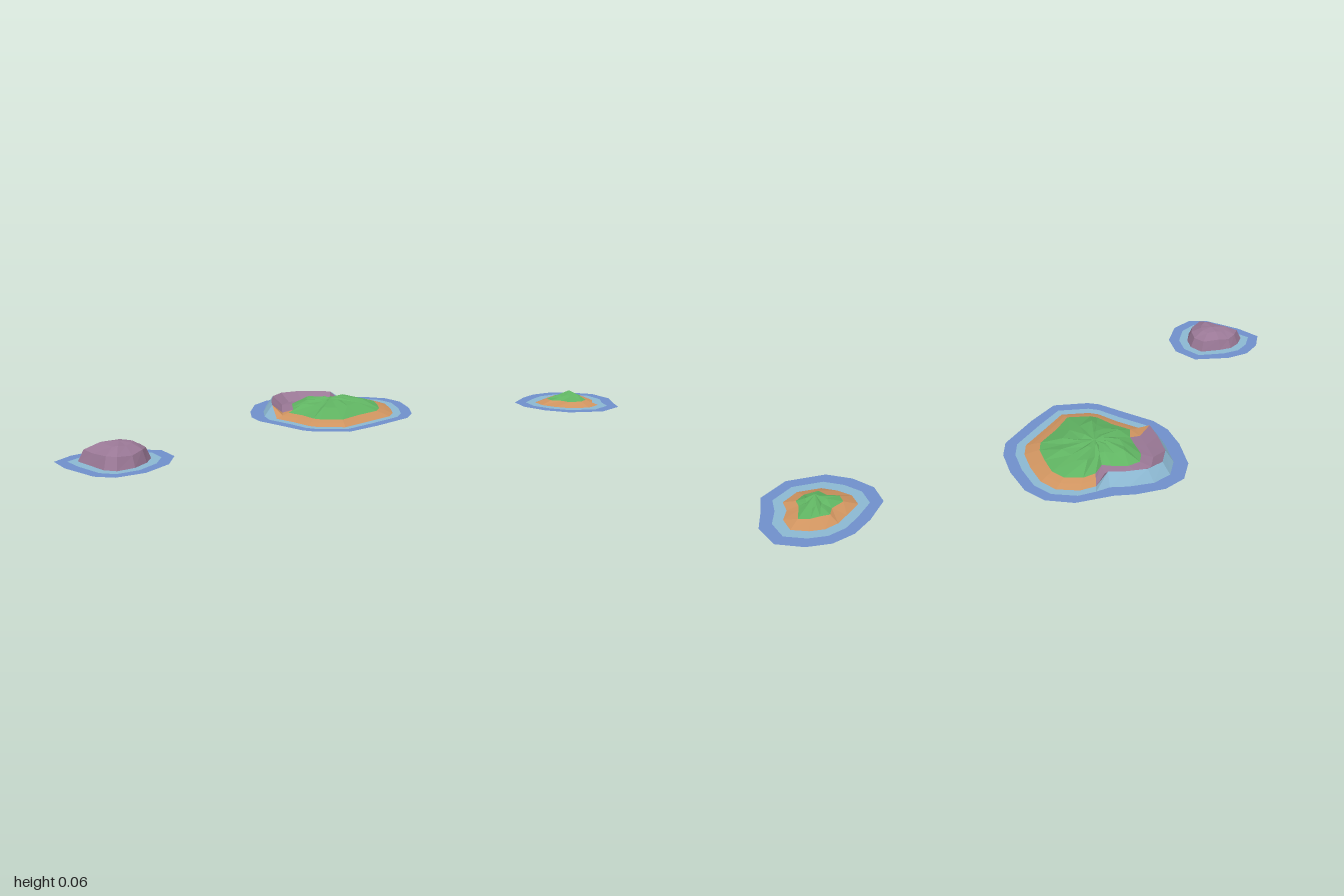
import * as THREE from 'three';

const paint = (name, color) => {
  const m = new THREE.MeshStandardMaterial({ color, flatShading: true, side: THREE.DoubleSide });
  m.name = name;
  return m;
};
const deepBlue = paint('deepWater', 0x7090cc);
const paleBlue = paint('shallowWater', 0x8cb8d2);
const sand = paint('sand', 0xd09460);
const green = paint('grass', 0x60b462);
const mauve = paint('rock', 0x9a7896);

// Ring pulled inward from the outline by a distance, at a height (numbers or functions of index)
const val = (v, i) => (typeof v === 'function' ? v(i) : v);
function inset(outline, [cx, cz], distance, height) {
  return outline.map(([x, z], i) => {
    const r = Math.hypot(x - cx, z - cz), k = 1 - val(distance, i) / r;
    return [cx + (x - cx) * k, val(height, i), cz + (z - cz) * k];
  });
}

// Ring scaled toward the centre from another ring
function shrink(ring, [cx, cz], factor, height) {
  return ring.map(([x, , z], i) => {
    const k = val(factor, i);
    return [cx + (x - cx) * k, val(height, i), cz + (z - cz) * k];
  });
}

// Faceted surface through successive rings, outer to inner, on the chosen segments
function surface(name, material, rings, keep = () => true) {
  const pos = [];
  for (let k = 0; k + 1 < rings.length; k++) {
    const a = rings[k], b = rings[k + 1], n = a.length;
    for (let i = 0; i < n; i++) {
      if (!keep(i)) continue;
      const j = (i + 1) % n;
      pos.push(...a[i], ...b[i], ...a[j], ...a[j], ...b[i], ...b[j]);
    }
  }
  const g = new THREE.BufferGeometry();
  g.setAttribute('position', new THREE.Float32BufferAttribute(pos, 3));
  g.computeVertexNormals();
  const mesh = new THREE.Mesh(g, material);
  mesh.name = name;
  return mesh;
}

const tip = (ring, [x, z], y) => ring.map(() => [x, y, z]);
const wobble = (i, s) => Math.sin(i * 2.4 + s);

function island(name, ...parts) {
  const g = new THREE.Group();
  g.name = name;
  g.add(...parts);
  return g;
}

// Large island with a raised ridge around its back shore
function mainIsland() {
  const c = [0.12, -0.25];
  const outline = [[0.13, -0.57], [0.21, -0.54], [0.28, -0.47], [0.32, -0.41], [0.36, -0.37],
    [0.41, -0.32], [0.44, -0.23], [0.42, -0.15], [0.35, -0.06], [0.27, 0.01], [0.2, 0.04],
    [0.03, 0.03], [-0.1, 0.01], [-0.17, -0.09], [-0.18, -0.13], [-0.17, -0.23],
    [-0.16, -0.345], [-0.13, -0.41], [-0.06, -0.48], [0.04, -0.55]];
  const raised = i => i <= 3 || i >= 17;
  const r0 = inset(outline, c, 0, 0);
  const r1 = inset(outline, c, i => (raised(i) ? 0.048 : 0.04), 0);
  const r2 = inset(outline, c, i => (raised(i) ? 0.077 : 0.07), i => (raised(i) ? 0.04 : 0));
  const r3 = inset(outline, c, i => (raised(i) ? 0.115 : 0.095), 0.009);
  const r4 = inset(outline, c, i => (raised(i) ? 0.155 : 0.12), 0.016);
  const r5 = shrink(r4, c, i => 0.6 + 0.06 * wobble(i, 1), i => 0.04 + 0.004 * wobble(i, 2));
  const r6 = shrink(r4, c, 0.25, i => 0.049 + 0.004 * wobble(i, 0));
  return island('mainIsland',
    surface('deepWater', deepBlue, [r0, r1]),
    surface('shallowWater', paleBlue, [r1, r2]),
    surface('rockRidge', mauve, [r2, r3, r4], raised),
    surface('beach', sand, [r2, r3, r4], i => !raised(i)),
    surface('grassHill', green, [r4, r5, r6, tip(r4, c, 0.05)]));
}

// Small island with a pointed grassy peak
function smallIsland() {
  const c = [0.8, 0.375];
  const outline = [[0.67, 0.21], [0.77, 0.19], [0.85, 0.19], [0.92, 0.22], [0.97, 0.28],
    [1, 0.37], [0.96, 0.46], [0.89, 0.51], [0.83, 0.56], [0.72, 0.55], [0.63, 0.46],
    [0.61, 0.37], [0.62, 0.28]];
  const r0 = inset(outline, c, 0, 0);
  const r1 = inset(outline, c, 0.042, 0);
  const r2 = inset(outline, c, 0.078, 0);
  const r3 = inset(outline, c, i => 0.122 + 0.008 * wobble(i, 0), 0.015);
  const r4 = shrink(r3, c, 0.45, i => 0.028 + 0.005 * wobble(i, 1));
  return island('smallIsland',
    surface('deepWater', deepBlue, [r0, r1]),
    surface('shallowWater', paleBlue, [r1, r2]),
    surface('beach', sand, [r2, r3]),
    surface('grassPeak', green, [r3, r4, tip(r4, [0.79, 0.375], 0.048)]));
}

// Bare domed rock
function rockIsland() {
  const c = [-0.83, -0.31];
  const outline = [[-0.96, -0.46], [-0.88, -0.48], [-0.8, -0.47], [-0.73, -0.42], [-0.66, -0.31],
    [-0.69, -0.22], [-0.77, -0.16], [-0.88, -0.14], [-0.97, -0.17], [-1, -0.23], [-0.99, -0.37]];
  const r0 = inset(outline, c, 0, 0);
  const r1 = inset(outline, c, 0.04, 0);
  const r2 = inset(outline, c, 0.072, 0);
  const r3 = shrink(r2, c, 0.85, i => 0.037 + 0.003 * wobble(i, 0));
  const r4 = shrink(r2, c, 0.45, i => 0.058 + 0.002 * wobble(i, 1));
  return island('rockIsland',
    surface('deepWater', deepBlue, [r0, r1]),
    surface('shallowWater', paleBlue, [r1, r2]),
    surface('rockDome', mauve, [r2, r3, r4, tip(r4, c, 0.064)]));
}

export function createModel() {
  const model = new THREE.Group();
  model.name = 'islands';
  model.add(mainIsland(), smallIsland(), rockIsland());
  return model;
}
